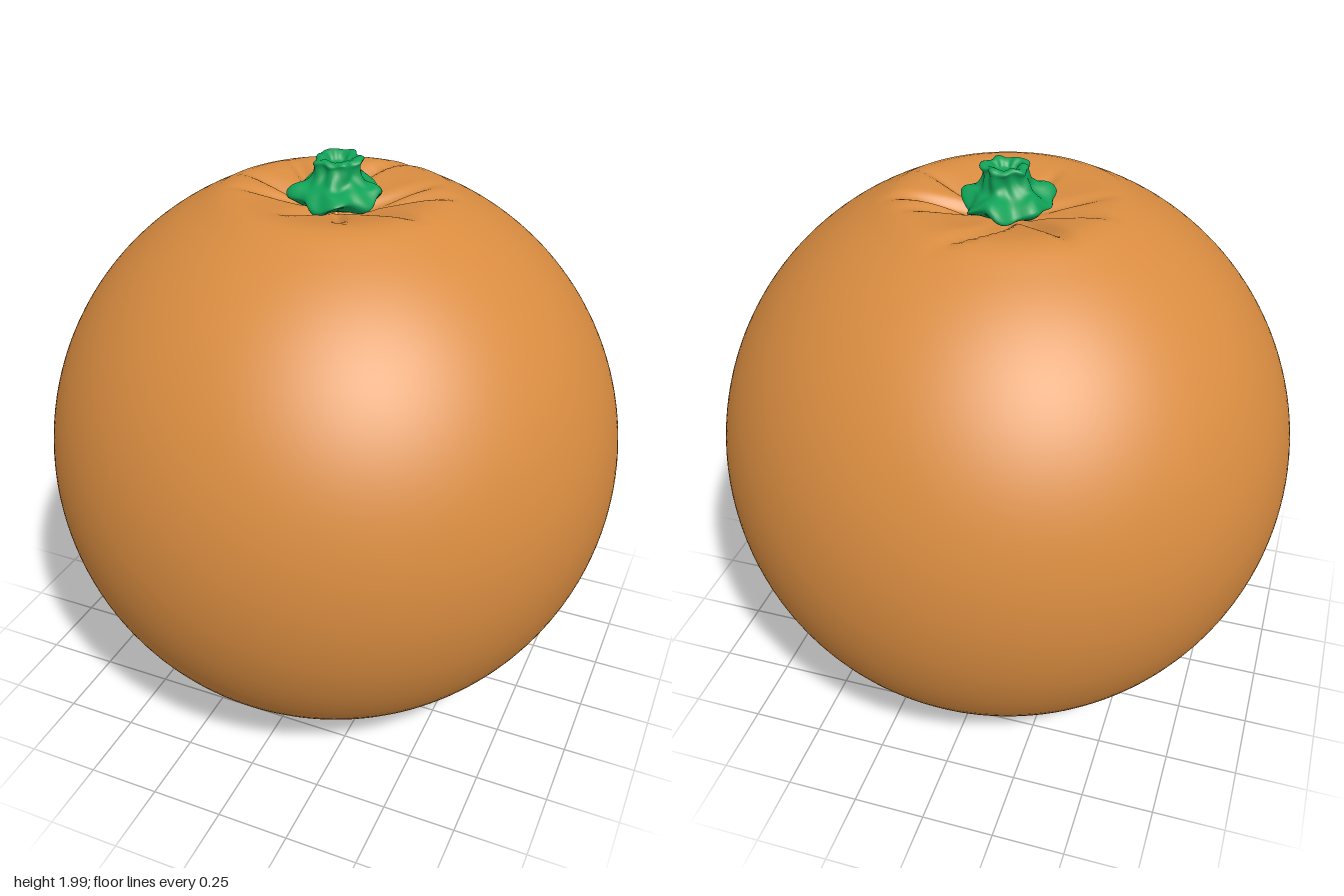
import * as THREE from 'three';
import { mergeVertices } from 'three/addons/utils/BufferGeometryUtils.js';

const orange = new THREE.MeshStandardMaterial({ color: 0xd98c40 });
orange.name = 'orange peel';
const green = new THREE.MeshStandardMaterial({ color: 0x0fa258 });
green.name = 'stem green';

// Spin a profile, move each vertex by a rule, then weld the seam for smooth normals
function spin(points, segments, move) {
  let geo = new THREE.LatheGeometry(points, segments);
  geo.deleteAttribute('uv');
  geo.deleteAttribute('normal');
  const pos = geo.attributes.position;
  const v = new THREE.Vector3();
  for (let i = 0; i < pos.count; i++) {
    v.fromBufferAttribute(pos, i);
    move(v, Math.hypot(v.x, v.z), Math.atan2(v.z, v.x));
    pos.setXYZ(i, v.x, v.y, v.z);
  }
  geo = mergeVertices(geo, 1e-5);
  geo.computeVertexNormals();
  return geo;
}

const CENTRE = 0.94;
const DIP = 0.42; // radius of the hollow at each pole

// Creases: [angle in degrees from +x towards +z, outer reach, depth, bend]
const topCreases = [
  [-172, 0.38, 0.03, 0.1], [-139, 0.38, 0.035, 0.2], [-88, 0.42, 0.04, 1.7], [-32, 0.36, 0.025, -0.3],
  [-14, 0.4, 0.035, -0.3], [20, 0.38, 0.03, 0.2], [65, 0.28, 0.02, 0], [112, 0.28, 0.02, 0], [164, 0.36, 0.02, 0],
];
const bottomCreases = [
  [-165, 0.36, 0.03, 0.3], [-120, 0.38, 0.03, -0.3], [-78, 0.3, 0.025, 0.2], [-35, 0.36, 0.035, 0.5],
  [12, 0.4, 0.035, -0.4], [60, 0.34, 0.025, 0.3], [105, 0.38, 0.03, 0], [150, 0.3, 0.025, -0.2],
];

function creaseDepth(list, r, a) {
  let sum = 0;
  for (const [deg, reach, depth, bend] of list) {
    if (r >= reach) continue;
    const d = a - THREE.MathUtils.degToRad(deg) - bend * (r - 0.25);
    const across = Math.atan2(Math.sin(d), Math.cos(d)) * r;
    const along = Math.sin(Math.PI * Math.pow(r / reach, 0.8));
    sum += depth * along * Math.exp(-((across / 0.026) ** 2));
  }
  return sum;
}

function createBody() {
  // Rows are packed closer together around the poles
  const profile = [];
  const rows = 96;
  for (let i = 0; i <= rows; i++) {
    const t = i / rows;
    const p = Math.PI * (t - 0.1 * Math.sin(4 * Math.PI * t) / Math.PI
      - 0.2 * Math.sin(2 * Math.PI * t) / Math.PI);
    profile.push(new THREE.Vector2(i % rows ? Math.sin(p) : 0, -Math.cos(p)));
  }
  return spin(profile, 192, (v, r, a) => {
    const side = Math.sign(v.y);
    if (r < DIP) {
      const k = 1 - (r / DIP) ** 2;
      const bulge = 0.05 * k * (r / DIP) ** 4;
      const creases = side > 0 ? topCreases : bottomCreases;
      v.y -= side * (0.115 * k * k - bulge + creaseDepth(creases, r, a));
    }
    v.y += CENTRE;
  });
}

// Lumpy stem: a ragged flared collar below a short stub with a hollow top
function createStem() {
  const outline = [
    [0, 1.81], [0.09, 1.83], [0.135, 1.85], [0.147, 1.868], [0.122, 1.893], [0.094, 1.907], [0.079, 1.93],
    [0.073, 1.96], [0.077, 1.979], [0.06, 1.987], [0.042, 1.977], [0.028, 1.962], [0, 1.958],
  ].map(([x, y]) => new THREE.Vector2(x, y));
  const profile = new THREE.SplineCurve(outline).getPoints(48);
  profile.forEach((p) => { p.x = Math.max(p.x, 0); });
  profile[0].x = profile[48].x = 0;
  return spin(profile, 72, (v, r, a) => {
    const h = (v.y - 1.81) / 0.18;
    const collar = THREE.MathUtils.smoothstep(r, 0.09, 0.14);
    const toBack = a + Math.PI / 2 + 0.17;
    const tip = Math.exp(-((Math.atan2(Math.sin(toBack), Math.cos(toBack)) / 0.3) ** 2));
    const lumps = 0.07 * Math.sin(5 * a + 0.7 + 2 * h) + 0.045 * Math.sin(9 * a - 7 * h)
      + 0.035 * Math.sin(3 * a + 15 * h);
    const s = 1 + lumps + 0.22 * tip * collar;
    v.x *= s;
    v.z *= s;
    v.y += 0.012 * collar * Math.sin(5 * a + 2.2) + 0.05 * r * Math.sin(6 * a + 9 * h);
    // The stub leans back and its rim is tilted
    if (h > 0.5) {
      v.y -= 0.1 * (h - 0.5) * v.z;
      v.z -= 0.025 * (h - 0.5);
      v.x += 0.01 * (h - 0.5);
    }
  });
}

export function createModel() {
  const group = new THREE.Group();
  group.name = 'fruit';
  const body = new THREE.Mesh(createBody(), orange);
  body.name = 'body';
  const stem = new THREE.Mesh(createStem(), green);
  stem.name = 'stem';
  group.add(body, stem);
  return group;
}
